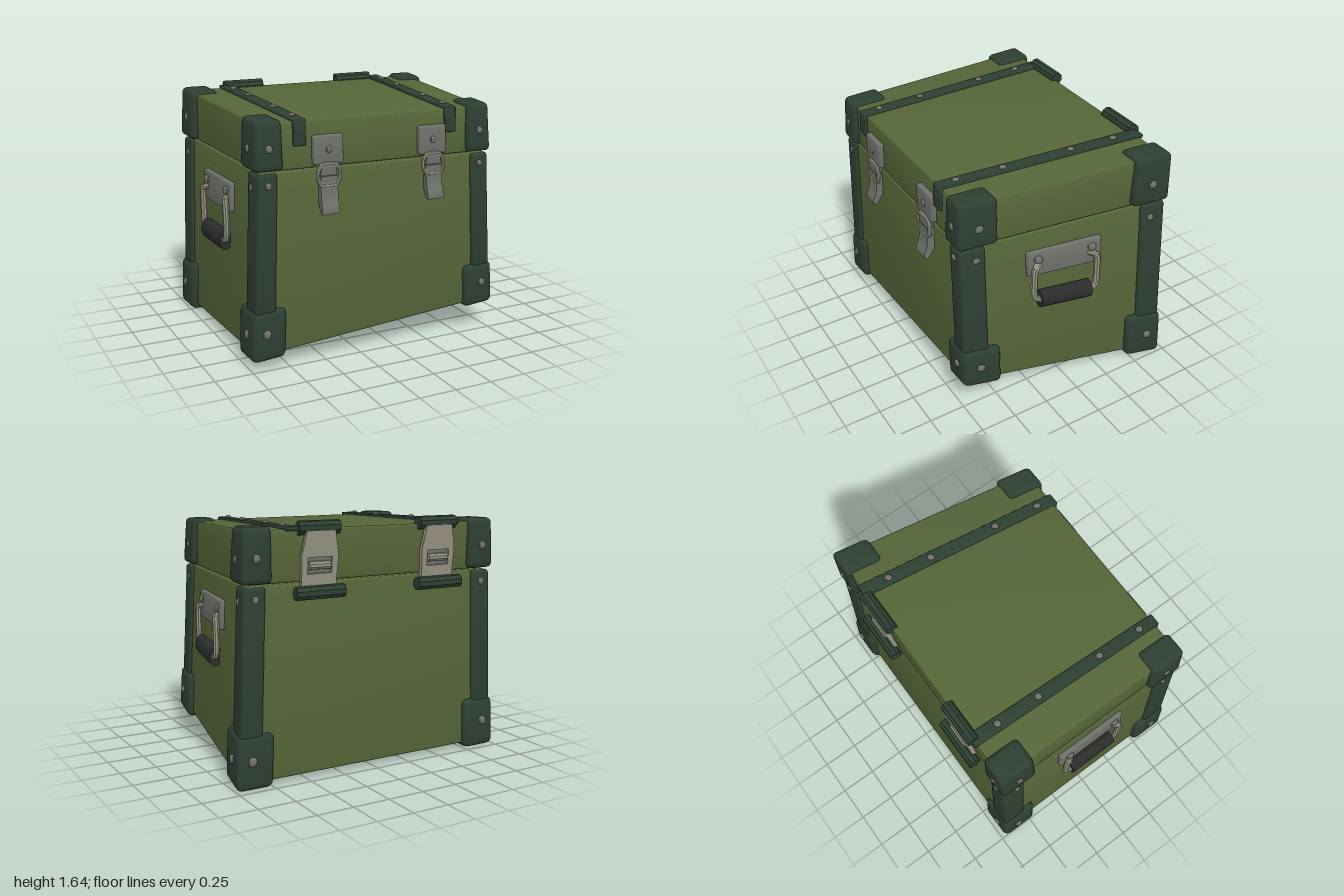
import * as THREE from 'three';
import { toCreasedNormals } from 'three/addons/utils/BufferGeometryUtils.js';
import { RoundedBoxGeometry } from 'three/addons/geometries/RoundedBoxGeometry.js';

const mat = (name, color) => {
  const m = new THREE.MeshStandardMaterial({ color });
  m.name = name;
  return m;
};

// The crate is built as a regular box (HX by HZ) and then bent to its crooked shape.
const HX = 0.9, HZ = 0.7, BOTTOM = 0.08, SEAM = 1.25, TOP = 1.57;
// Corners per level: front left-hand, front right-hand, back left-hand, back right-hand
const LEVELS = [
  [BOTTOM, [[-0.96, 0.09, 0.72], [0.745, 0.21, 0.715], [-0.96, 0.035, -0.685], [0.955, 0.035, -0.685]]],
  [SEAM, [[-0.91, 1.255, 0.7], [0.69, 1.25, 0.705], [-0.915, 1.26, -0.67], [0.895, 1.265, -0.66]]],
  [TOP, [[-0.905, 1.55, 0.69], [0.68, 1.555, 0.695], [-0.905, 1.585, -0.68], [0.89, 1.595, -0.67]]],
];

function bend(p) {
  const u = (p.x + HX) / (2 * HX), w = (HZ - p.z) / (2 * HZ);
  const i = p.y < SEAM ? 0 : 1;
  const [y0, a] = LEVELS[i], [y1, b] = LEVELS[i + 1];
  const v = (p.y - y0) / (y1 - y0);
  const onLevel = (c, k) =>
    (c[0][k] * (1 - u) + c[1][k] * u) * (1 - w) + (c[2][k] * (1 - u) + c[3][k] * u) * w;
  return p.fromArray([0, 1, 2].map((k) => onLevel(a, k) * (1 - v) + onLevel(b, k) * v));
}

export function createModel() {
  const crate = new THREE.Group();
  crate.name = 'crate';
  const olive = mat('olive panel', 0x566538);
  const green = mat('dark green trim', 0x2d3f32);
  const metal = mat('grey metal', 0x70706b);
  const pale = mat('pale metal', 0x969384);
  const rubber = mat('black rubber', 0x2c2c2d);

  const add = (name, geo, material) => {
    const pos = geo.attributes.position, p = new THREE.Vector3();
    for (let i = 0; i < pos.count; i++) {
      bend(p.fromBufferAttribute(pos, i));
      pos.setXYZ(i, p.x, p.y, p.z);
    }
    const mesh = new THREE.Mesh(toCreasedNormals(geo, 0.6), material);
    mesh.name = name;
    crate.add(mesh);
  };
  // Rounded box given by its limits on each axis
  const box = (name, [x0, x1], [y0, y1], [z0, z1], r, material) => {
    const g = new RoundedBoxGeometry(Math.abs(x1 - x0), y1 - y0, Math.abs(z1 - z0), 2, r);
    add(name, g.translate((x0 + x1) / 2, (y0 + y1) / 2, (z0 + z1) / 2), material);
  };
  // Flattened bolt head, thin along the given axis
  const bolt = (x, y, z, axis, r = 0.024) => {
    const g = new THREE.SphereGeometry(r, 10, 8);
    g.scale(axis === 'x' ? 0.6 : 1, axis === 'y' ? 0.6 : 1, axis === 'z' ? 0.6 : 1);
    add('bolt', g.translate(x, y, z), metal);
  };
  const tube = (name, pts, r, closed, material, tension = 0.25) => {
    const curve = new THREE.CatmullRomCurve3(pts.map((q) => new THREE.Vector3(...q)), closed, 'catmullrom', tension);
    add(name, new THREE.TubeGeometry(curve, 40, r, 8, closed), material);
  };

  // Body and lid
  box('body', [-HX, HX], [BOTTOM, SEAM - 0.003], [-HZ, HZ], 0.015, olive);
  box('lid', [-HX, HX], [SEAM + 0.003, TOP], [-HZ, HZ], 0.015, olive);

  // Corner posts and corner guards with their bolts
  for (const sx of [-1, 1]) for (const sz of [-1, 1]) {
    const ox = sx * (HX + 0.04), oz = sz * (HZ + 0.035);
    box('cornerPost', [sx * 0.775, sx * 0.922], [0.3, SEAM - 0.008], [sz * 0.55, sz * 0.722], 0.02, green);
    box('bottomGuard', [ox, sx * 0.7], [0.05, 0.38], [oz, sz * 0.47], 0.04, green);

    // Top guards taper slightly toward the top
    const h = 0.335, guard = new RoundedBoxGeometry(0.21, h, 0.27, 2, 0.035);
    const pos = guard.attributes.position;
    for (let i = 0; i < pos.count; i++) {
      const t = pos.getY(i) / h + 0.5;
      pos.setX(i, pos.getX(i) * (1 - 0.1 * t));
      pos.setZ(i, pos.getZ(i) * (1 - 0.06 * t));
    }
    add('topGuard', guard.translate(ox - sx * 0.1, 1.257 + h / 2, oz - sz * 0.132), green);

    bolt(sx * 0.845, 0.23, oz, 'z', 0.03);
    bolt(ox, 0.22, sz * 0.62, 'x', 0.03);
    bolt(sx * 0.845, 1.41, oz - sz * 0.005, 'z', 0.028);
    bolt(ox - sx * 0.002, 1.4, sz * 0.6, 'x', 0.028);
    bolt(sx * 0.845, 1.17, sz * 0.722, 'z');
    bolt(sx * 0.922, 1.15, sz * 0.615, 'x');
  }

  // Straps over the lid
  for (const x of [-0.61, 0.6]) {
    const span = [x - 0.046, x + 0.046];
    box('lidStrap', span, [TOP - 0.01, TOP + 0.018], [-0.72, 0.722], 0.008, green);
    box('strapFront', span, [1.41, TOP + 0.018], [0.69, 0.722], 0.008, green);
    for (const z of [-0.52, -0.21, 0.27, 0.59]) bolt(x, TOP + 0.02, z, 'y');
  }

  // Front latches: plate, loop and flared hook
  for (const x of [-0.4, 0.44]) {
    box('latchPlate', [x - 0.115, x + 0.115], [1.275, 1.47], [0.69, 0.735], 0.012, metal);
    bolt(x, 1.375, 0.735, 'z');
    box('latchTongue', [x - 0.06, x + 0.06], [1.2, 1.29], [0.69, 0.745], 0.01, metal);
    tube('latchLoop', [
      [x - 0.05, 1.275, 0.735], [x + 0.05, 1.275, 0.735], [x + 0.082, 1.235, 0.735], [x + 0.082, 1.18, 0.735],
      [x + 0.05, 1.135, 0.735], [x - 0.05, 1.135, 0.735], [x - 0.082, 1.18, 0.735], [x - 0.082, 1.235, 0.735],
    ], 0.015, true, pale);
    const hook = new THREE.Shape();
    hook.moveTo(0.69, 1.21);
    hook.lineTo(0.745, 1.2);
    hook.quadraticCurveTo(0.738, 1.06, 0.775, 0.99);
    hook.lineTo(0.77, 0.955);
    hook.lineTo(0.745, 0.96);
    hook.quadraticCurveTo(0.705, 1.02, 0.69, 1.05);
    const g = new THREE.ExtrudeGeometry(hook, { depth: 0.13, bevelEnabled: false, curveSegments: 6 });
    add('latchHook', g.rotateY(-Math.PI / 2).translate(x + 0.065, 0, 0), metal);
  }

  // Back hinges: two dark bars, a slotted plate and a pin between them
  for (const x of [-0.475, 0.415]) {
    const bar = (name, len, y, z, r, material) =>
      add(name, new THREE.CylinderGeometry(r, r, len, 9).rotateZ(Math.PI / 2).translate(x, y, z), material);
    bar('hingeTopBar', 0.29, 1.575, -0.705, 0.044, green);
    bar('hingeLowerBar', 0.34, 1.19, -0.745, 0.042, green);
    const plate = new THREE.Shape();
    plate.moveTo(-0.12, -0.18);
    plate.lineTo(0.12, -0.18);
    plate.lineTo(0.13, 0.03);
    plate.lineTo(0.1, 0.18);
    plate.lineTo(-0.1, 0.18);
    plate.lineTo(-0.13, 0.03);
    const slot = new THREE.Path();
    slot.moveTo(-0.085, -0.08);
    slot.lineTo(-0.085, 0.02);
    slot.lineTo(0.085, 0.02);
    slot.lineTo(0.085, -0.08);
    plate.holes.push(slot);
    const g = new THREE.ExtrudeGeometry(plate, { depth: 0.03, bevelEnabled: false });
    add('hingePlate', g.rotateX(-0.08).translate(x, 1.38, -0.74), pale);
    box('hingeBacking', [x - 0.1, x + 0.1], [1.26, 1.52], [-0.72, -0.69], 0.01, metal);
    bar('hingePin', 0.15, 1.35, -0.728, 0.026, pale);
  }

  // Side handles: plate, bail and rubber grip
  for (const s of [-1, 1]) {
    const x = (d) => s * (HX + d);
    box('handlePlate', [x(-0.01), x(0.03)], [0.915, 1.105], [-0.255, 0.27], 0.01, metal);
    for (const z of [-0.18, 0.2]) bolt(x(0.035), 1.045, z, 'x', 0.03);
    tube('handleBail', [
      [x(0.02), 1.0, 0.19], [x(0.05), 1.0, 0.22], [x(0.05), 0.96, 0.235], [x(0.04), 0.77, 0.235],
      [x(0.04), 0.725, 0.2], [x(0.04), 0.725, -0.17], [x(0.04), 0.77, -0.21], [x(0.05), 0.96, -0.21],
      [x(0.05), 1.0, -0.195], [x(0.02), 1.0, -0.165],
    ], 0.022, false, pale);
    const grip = new THREE.CylinderGeometry(0.068, 0.068, 0.36, 16).rotateX(Math.PI / 2);
    add('handleGrip', grip.scale(0.7, 1, 1).translate(x(0.03), 0.72, 0.015), rubber);
  }

  return crate;
}
